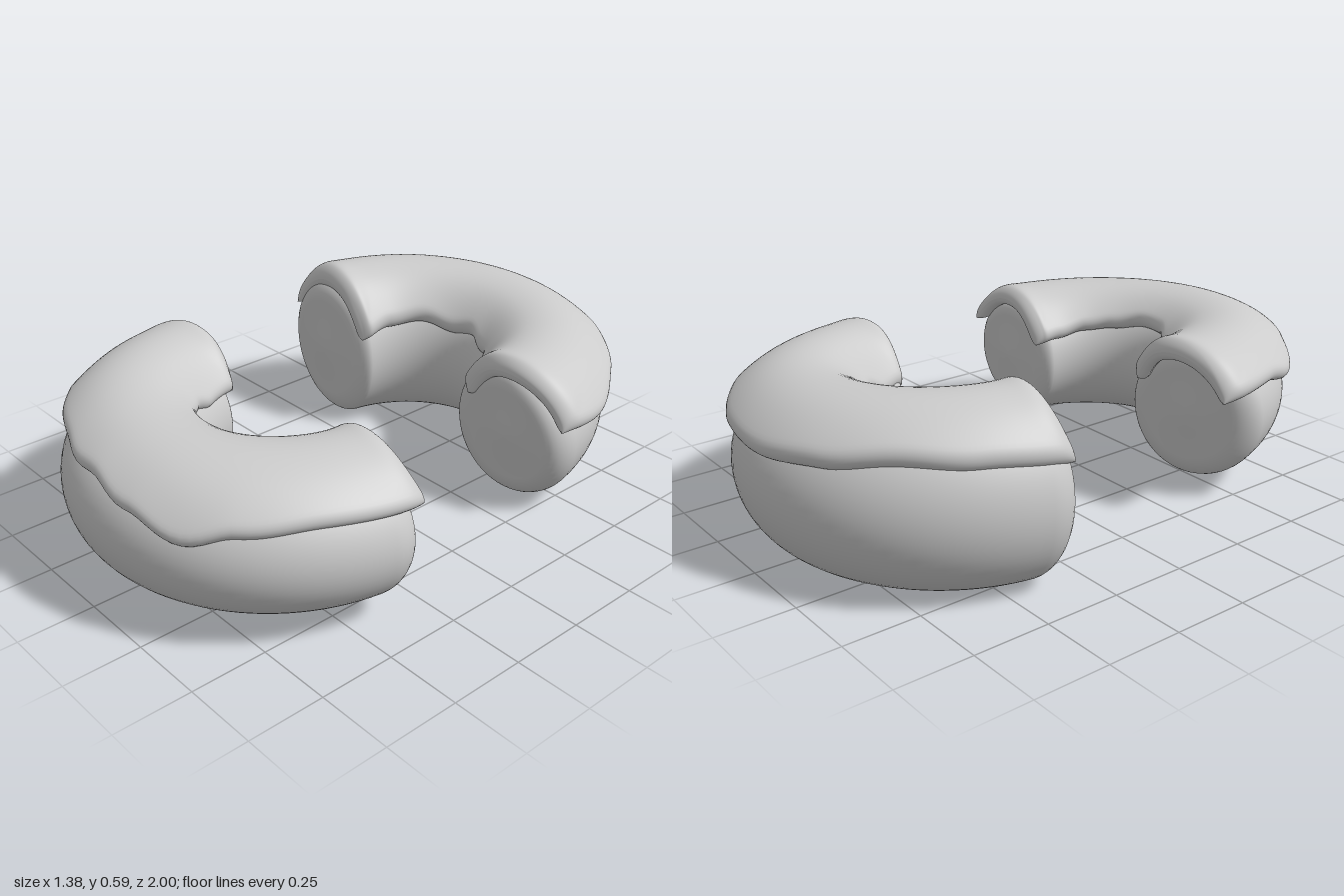
import * as THREE from 'three';

const R = 0.44, TUBE = 0.22, CUT = 0.31, STRETCH = 1.045;
const LENGTH = Math.PI * R;
const deg = THREE.MathUtils.degToRad;

// Eased interpolation through [position, value] keys
function keyed(keys, t) {
  if (t <= keys[0][0]) return keys[0][1];
  for (let i = 1; i < keys.length; i++) {
    const [t0, v0] = keys[i - 1], [t1, v1] = keys[i];
    if (t <= t1) return v0 + (v1 - v0) * (0.5 - 0.5 * Math.cos(Math.PI * (t - t0) / (t1 - t0)));
  }
  return keys[keys.length - 1][1];
}

// Quarter-round profile: 0 at the edge, 1 once d reaches the radius k
const rounded = (d, k) => Math.sqrt(Math.max(0, 1 - Math.max(0, 1 - d / k) ** 2));

// Point on a half ring: s runs along the ring (straight beyond its ends),
// phi round the tube (0 = outside, 90 degrees = top), k scales the tube
function ringPoint(half, s, phi, k) {
  const inside = THREE.MathUtils.clamp(s, 0, LENGTH);
  const theta = inside / R;
  const beyond = Math.max(-s, s - LENGTH, 0);
  const rho = R + TUBE * k * Math.cos(phi);
  const lx = half.dir * rho * Math.cos(theta);
  const ry = half.ry + half.rySlope * lx;
  return [
    half.cx + lx,
    half.cy + half.cySlope * lx + ry * k * Math.sin(phi),
    half.dir * (CUT + STRETCH * rho * Math.sin(theta) - beyond),
  ];
}

// Skin over rows of points, each row a closed loop
function skin(rows, cols, pointAt) {
  const pos = [], index = [];
  for (let i = 0; i <= rows; i++) {
    for (let j = 0; j < cols; j++) pos.push(...pointAt(i, j));
  }
  for (let i = 0; i < rows; i++) {
    for (let j = 0; j < cols; j++) {
      const k = (j + 1) % cols;
      const a = i * cols + j, b = i * cols + k;
      index.push(a, b, a + cols, b, b + cols, a + cols);
    }
  }
  const geo = new THREE.BufferGeometry();
  geo.setAttribute('position', new THREE.Float32BufferAttribute(pos, 3));
  geo.setIndex(index);
  geo.computeVertexNormals();
  return geo;
}

// How far a leaning cut face is set back at one point of the section
function setback([amount, toward], phi, k, d) {
  const fade = Math.max(0, 1 - d / 0.4) ** 2;
  return amount * fade * (0.5 + 0.5 * k * Math.cos(phi - deg(toward)));
}

// Dough: round tube with slightly domed, softly rounded cut faces
function doughGeometry(half) {
  const edge = 0.07, stations = [];
  for (const k of [0, 0.25, 0.5]) stations.push([-0.01 * (1 - k * k * 4), k]);
  for (let i = 0; i <= 8; i++) {
    const a = (i / 8) * Math.PI / 2;
    stations.push([edge * (1 - Math.cos(a)), 1 - (edge / TUBE) * (1 - Math.sin(a))]);
  }
  const ends = stations.map(([s, k]) => [LENGTH - s, k]).reverse();
  for (let i = 1; i < 48; i++) stations.push([edge + (LENGTH - 2 * edge) * i / 48, 1]);
  stations.push(...ends);
  const cols = 56;
  return skin(stations.length - 1, cols, (i, j) => {
    const [s, k] = stations[i];
    const phi = (j / cols) * Math.PI * 2;
    const shift = setback(half.startLean, phi, k, s) - setback(half.endLean, phi, k, LENGTH - s);
    return ringPoint(half, s + shift, phi, k);
  });
}

// Icing: thick sheet over the top with a rolled, wavy rim
function icingGeometry(half) {
  const rows = 110, N = 40;
  return skin(rows, 2 * N, (i, j) => {
    const top = j <= N;
    const across = 0.5 - 0.5 * Math.cos(Math.PI * (top ? j : 2 * N - j) / N);
    const u = i / rows;
    const along = THREE.MathUtils.lerp(u, 0.5 - 0.5 * Math.cos(Math.PI * u), 0.93);
    const a = deg(keyed(half.outerRim, along * 180));
    const b = deg(keyed(half.innerRim, along * 180));
    const phi = a + (b - a) * across;
    // the cut ends overhang unevenly
    const over = half.overhang + 0.012 * Math.sin(phi * 2.4 + (along < 0.5 ? 2.2 : 3.6));
    const s = -over + (LENGTH + 2 * over) * along;
    const dEnd = (LENGTH + 2 * over) * Math.min(along, 1 - along);
    const dRim = (b - a) * TUBE * Math.min(across, 1 - across);
    const lip = Math.exp(-((Math.min(dEnd, dRim) / 0.06) ** 2));
    const h = (0.028 + 0.007 * lip) * rounded(dEnd, 0.035) * rounded(dRim, 0.035);
    // the sheet hugs the dough more closely inside the hole and at the cuts
    const hug = 0.016 * THREE.MathUtils.smoothstep(phi, deg(105), deg(150))
      + 0.014 * Math.exp(-((dEnd / 0.03) ** 2));
    const mid = TUBE + 0.016 - hug;
    const p = ringPoint(half, s, phi, (mid + (top ? h : -h)) / TUBE);
    // the icing sits slightly off the dough
    p[0] += half.icingShift[0];
    p[2] += half.icingShift[1];
    return p;
  });
}

// Leans are [amount, side of the section that is set back in degrees]
const halves = [
  {
    name: 'frontHalf', dir: 1, cx: 0.04, cy: 0.28, cySlope: -0.025, ry: 0.225, rySlope: -0.012,
    icingShift: [-0.02, -0.014], overhang: 0.012,
    startLean: [0.01, -90], endLean: [0.1, -20],
    outerRim: [[0, 30], [28, 33], [48, 28], [61, 19], [77, 30], [92, 39], [100, 37], [110, 40],
      [132, 35], [147, 23], [160, 30], [180, 28]],
    innerRim: [[0, 154], [18, 152], [40, 146], [60, 143], [85, 137], [105, 138], [130, 145],
      [150, 153], [180, 152]],
  },
  {
    name: 'backHalf', dir: -1, cx: -0.038, cy: 0.262, cySlope: -0.012, ry: 0.254, rySlope: -0.03,
    icingShift: [0.028, 0.003], overhang: -0.006,
    startLean: [0.015, -90], endLean: [0.045, -90],
    outerRim: [[0, 28], [25, 33], [45, 37], [65, 32], [85, 29], [105, 31], [125, 36], [145, 31],
      [165, 22], [180, 25]],
    innerRim: [[0, 154], [25, 148], [50, 144], [75, 149], [95, 145], [115, 151], [135, 148],
      [155, 156], [180, 154]],
  },
];

export function createModel() {
  const model = new THREE.Group();
  model.name = 'halvedDoughnut';
  const material = new THREE.MeshStandardMaterial({ color: 0xcccccc });
  for (const half of halves) {
    const group = new THREE.Group();
    group.name = half.name;
    const dough = new THREE.Mesh(doughGeometry(half), material);
    dough.name = 'dough';
    const icing = new THREE.Mesh(icingGeometry(half), material);
    icing.name = 'icing';
    group.add(dough, icing);
    model.add(group);
  }
  return model;
}
